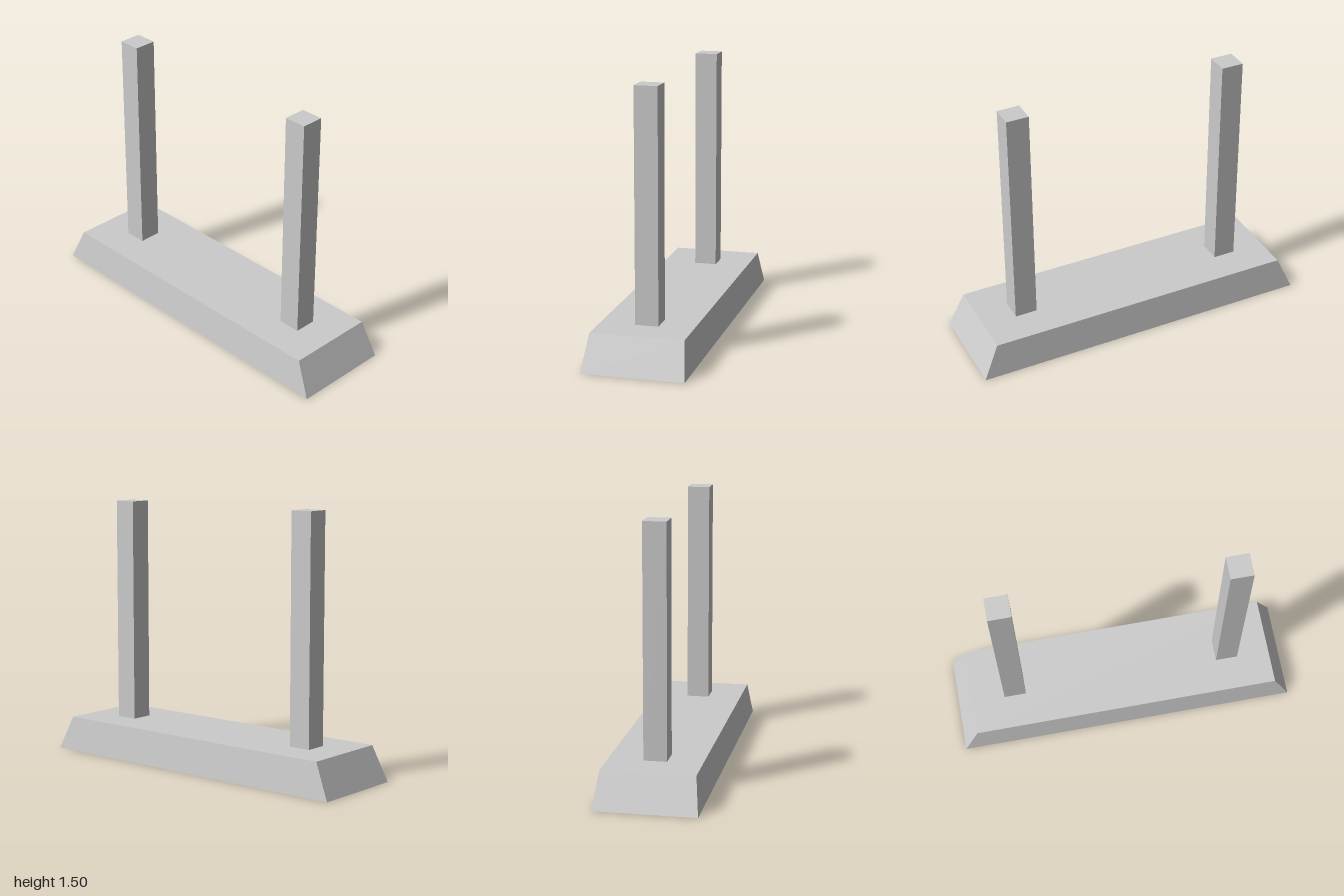
import * as THREE from 'three';

const grey = new THREE.MeshStandardMaterial({ color: 0xcccccc });
const greyThin = new THREE.MeshStandardMaterial({ color: 0xcccccc, side: THREE.DoubleSide });

const BASE_HEIGHT = 0.2;
const POST_HEIGHT = 1.3;

function addMesh(group, name, geometry, material, x, y, z) {
  const mesh = new THREE.Mesh(geometry, material);
  mesh.name = name;
  mesh.position.set(x, y, z);
  group.add(mesh);
  return mesh;
}

// Thin tapered tray, open at the bottom
function housingGeometry() {
  const geometry = new THREE.BoxGeometry(2, BASE_HEIGHT, 0.57);
  const pos = geometry.attributes.position;
  for (let i = 0; i < pos.count; i++) {
    if (pos.getY(i) > 0) {
      pos.setX(i, Math.sign(pos.getX(i)) * 0.91);
      pos.setZ(i, Math.sign(pos.getZ(i)) * 0.26);
    }
  }
  // Leave out the downward face (fourth of six, six indices each)
  const index = Array.from(geometry.index.array);
  index.splice(18, 6);
  geometry.setIndex(index);
  geometry.clearGroups();
  geometry.computeVertexNormals();
  return geometry;
}

export function createModel() {
  const group = new THREE.Group();
  group.name = 'hangingTubeLight';

  addMesh(group, 'housing', housingGeometry(), greyThin, 0, BASE_HEIGHT / 2, 0);

  // Square hanging posts
  const post = new THREE.BoxGeometry(0.13, POST_HEIGHT, 0.13);
  for (const [name, side] of [['leftPost', 1], ['rightPost', -1]]) {
    addMesh(group, name, post, grey, side * 0.65, BASE_HEIGHT + POST_HEIGHT / 2, 0);
  }

  // Light tubes inside the tray
  const tube = new THREE.CylinderGeometry(0.06, 0.06, 1.71, 16).rotateZ(Math.PI / 2);
  for (const [name, side] of [['frontTube', 1], ['backTube', -1]]) {
    addMesh(group, name, tube, grey, 0, 0.075, side * 0.13);
  }

  return group;
}
